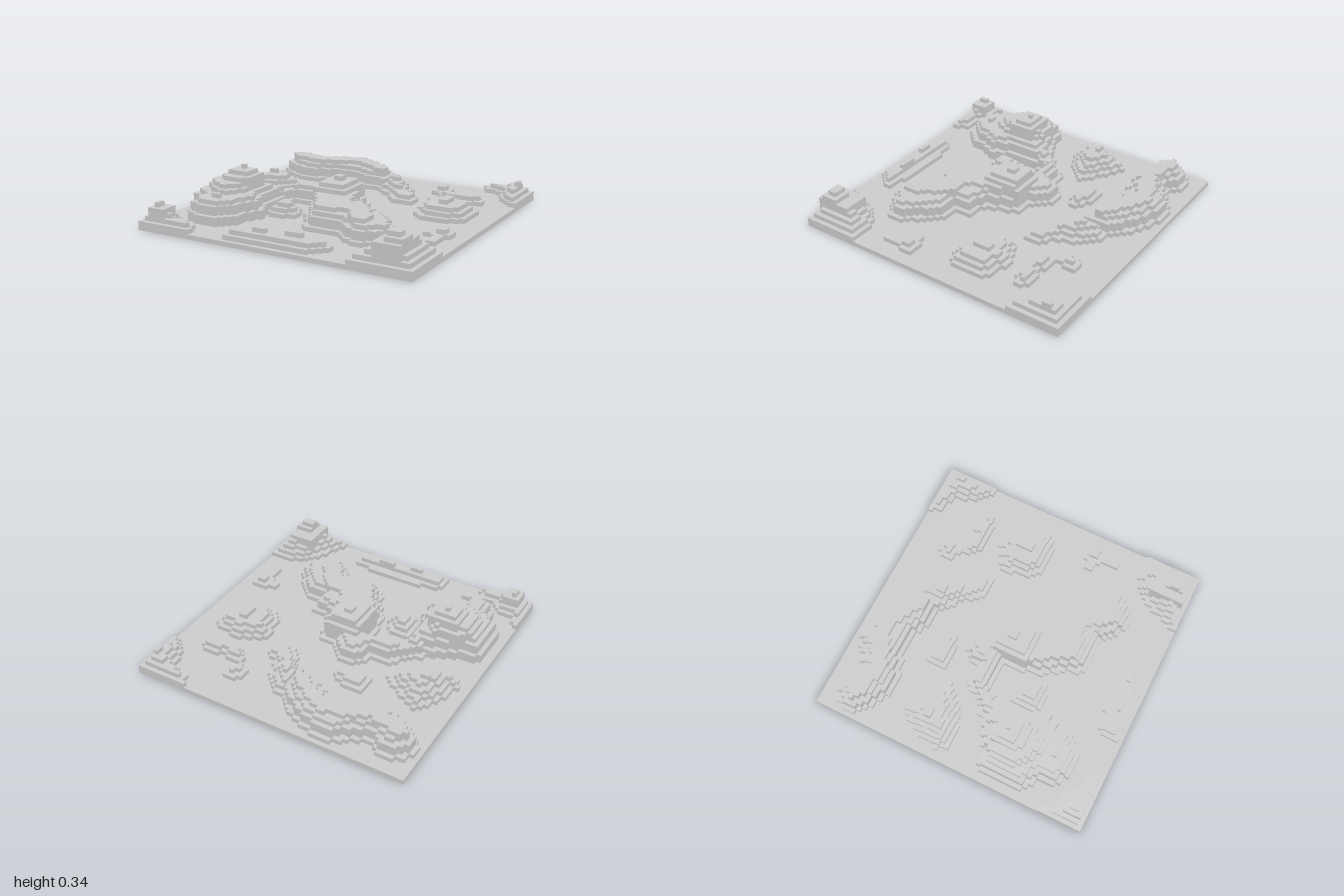
import * as THREE from 'three';

const N = 64, CELL = 2 / N;

// Each hill is a list of layers: [steps, outline].
// steps = heights (in blocks) of the rings counted inward from the outline,
// outline = x, z pairs in hundredths of a unit.
const rect = (x0, z0, x1, z1) => [x0, z0, x1, z0, x1, z1, x0, z1];

const HILLS = {
  backRidge: [
    [[2, 4, 5], [-97, -73, -94, -86, -80, -92, -68, -84, -58, -88, -48, -95, -36, -97, -20, -92, -8, -84,
      3, -75, 5, -62, 2, -52, -5, -55, -20, -58, -30, -63, -45, -62, -63, -56, -75, -58, -88, -64]],
    [[6], [-92, -76, -85, -82, -65, -76, -48, -83, -35, -87, -22, -82, -8, -72, 0, -62, -12, -64, -25, -73,
      -38, -75, -52, -68, -65, -66, -82, -69]],
    [[2, 3, 4, 5], [0, -77, 12, -72, 20, -62, 24, -50, 25, -42, 14, -40, 6, -47, -4, -54]],
    [[2, 3], [10, -50, 24, -50, 34, -43, 34, -31, 22, -30, 12, -40]]
  ],
  leftMassif: [
    [[3, 5, 6], [-62, 10, -75, 15, -80, 20, -92, 20, -94, 38, -92, 55, -82, 60, -80, 72, -70, 78, -55, 78,
      -45, 68, -42, 55, -37, 48, -42, 40, -45, 20, -42, 10]],
    [[7, 8], [-84, 26, -76, 19, -60, 17, -53, 22, -53, 44, -60, 56, -74, 54, -84, 42]],
    [[9], [-75, 22, -53, 22, -53, 40, -58, 44, -75, 42]],
    [[10], rect(-72, 25, -56, 37)],
    [[11], rect(-66, 28, -62.5, 31)],
    [[7], rect(-67, 62, -59, 67)]
  ],
  connectingArc: [
    [[2, 4, 5], [-62, 18, -60, 6, -50, -2, -42, -12, -28, -13, -28, -19, -20, -25, -8, -23, 0, -14, 4, 0,
      -20, 2, -30, 2, -39, 4, -43, 12, -45, 22]]
  ],
  centreRidge: [
    [[2, 4, 5], [-18, -5, -8, -14, 12, -12, 16, 0, 20, 10, 34, 14, 34, 26, 47, 26, 56, 36, 65, 48, 65, 58,
      53, 66, 47, 70, 36, 66, 25, 56, 12, 56, 0, 55, -6, 42, -14, 30, -19, 10]],
    [[6], [-16, -10, 8, -9, 12, 8, 18, 28, 34, 30, 46, 48, 46, 58, 38, 58, 26, 44, 14, 46, 2, 46, -6, 30, -16, 14]],
    [[7], rect(-16, -6, 9, 18)],
    [[8], rect(-12.5, -6, 6, 15)],
    [[9], rect(-6, 0, 0, 6)]
  ],
  valleyMound: [
    [[2, 3, 4], [-42, 22, -36, 18, -26, 19, -20, 27, -20, 36, -28, 42, -38, 40, -42, 34]]
  ],
  leftKnoll: [
    [[2, 3, 4, 5], [-93, -10, -90, -22, -85, -34, -77, -44, -60, -34, -47, -25, -52, -18, -60, -10, -75, -3, -90, -4]],
    [[6], rect(-78, -25, -72, -22)]
  ],
  rightKnoll: [
    [[2, 3, 4], [42, -28, 48, -34, 62, -40, 78, -38, 84, -33, 86, -25, 84, -10, 72, -2, 56, -3, 48, -10, 47, -20]],
    [[5], rect(62.5, -28, 69, -16)]
  ],
  backRightMound: [
    [[2, 3], [34, -72, 40, -78, 46, -78, 45, -64, 60, -60, 68, -64, 77, -60, 77, -52, 52, -50, 43, -57, 42, -65, 34, -66]]
  ],
  backRightCorner: [
    [[2, 3, 4], [62, -100, 66, -92, 80, -87, 85, -72, 95, -63, 100, -63, 100, -100]],
    [[5], rect(90, -91, 94, -84)]
  ],
  frontRightCorner: [
    [[2, 3, 4, 5], [56, 100, 60, 88, 66, 75, 72, 65, 84, 60, 100, 60, 100, 100]],
    [[6], rect(72, 72, 90, 97)],
    [[7], rect(78, 81, 91, 94)],
    [[8], rect(78, 84, 87.5, 91)]
  ],
  frontLeftCorner: [
    [[2, 3, 4], [-100, 70, -97, 70, -92, 78, -80, 80, -75, 88, -62, 88, -60, 100, -100, 100]],
    [[5], rect(-94, 84, -81, 97)],
    [[6], rect(-91, 87, -87, 94)]
  ],
  frontStrip: [
    [[2, 3], [-35, 85, -28, 81, 36, 81, 36, 89, 28, 96, -34, 96]],
    [[2], rect(-19, 78, 25, 82)],
    [[4], rect(-16, 87, -6, 91)],
    [[4], rect(6, 84, 19, 88)]
  ],
  smallLeftMound: [[[2, 3], [-41, -47, -25, -46, -16, -40, -16, -34, -28, -31, -41, -32]]],
  smallRightMound: [[[2], [72, 28, 72, 22, 81, 19, 90, 20, 90, 27, 87, 31, 87, 43, 80, 43, 80, 30]],
    [[3], rect(81, 22, 87, 28)]]
};

// Distance from a point to the outline, negative outside it
function insetDistance(px, pz, o) {
  let inside = false, best = Infinity;
  for (let i = 0, j = o.length - 2; i < o.length; j = i, i += 2) {
    const ax = o[j] / 100, az = o[j + 1] / 100, bx = o[i] / 100, bz = o[i + 1] / 100;
    if ((az > pz) !== (bz > pz) && px < ax + (bx - ax) * (pz - az) / (bz - az)) inside = !inside;
    const dx = bx - ax, dz = bz - az;
    const t = THREE.MathUtils.clamp(((px - ax) * dx + (pz - az) * dz) / (dx * dx + dz * dz), 0, 1);
    best = Math.min(best, Math.hypot(px - ax - t * dx, pz - az - t * dz));
  }
  return inside ? best : -best;
}

const centre = i => -1 + (i + 0.5) * CELL;

export function createModel() {
  const model = new THREE.Group();
  model.name = 'blockTerrain';
  const material = new THREE.MeshStandardMaterial({ color: 0xcccccc, flatShading: true });

  // Ground plate, one block thick
  const plate = new THREE.Mesh(new THREE.BoxGeometry(2, CELL, 2), material);
  plate.position.y = CELL / 2;
  plate.name = 'groundPlate';
  model.add(plate);

  // Height of every column and the hill it belongs to
  const height = new Array(N * N).fill(1), owner = new Array(N * N).fill('');
  for (const [name, layers] of Object.entries(HILLS))
    for (const [steps, outline] of layers)
      for (let k = 0; k < N * N; k++) {
        const d = insetDistance(centre(k % N), centre(Math.floor(k / N)), outline);
        if (d < 0) continue;
        const h = steps[Math.min(steps.length - 1, Math.floor(d / CELL))];
        if (h > height[k]) { height[k] = h; owner[k] = name; }
      }
  const heightAt = (i, j) => (i < 0 || j < 0 || i >= N || j >= N ? 1 : height[j * N + i]);

  // Hills: a top for each column and a wall wherever a neighbour is lower
  const s = CELL / 2;
  for (const name of Object.keys(HILLS)) {
    const pos = [];
    const quad = (a, b, c, d) => pos.push(...a, ...b, ...c, ...a, ...c, ...d);
    for (let k = 0; k < N * N; k++) {
      if (owner[k] !== name) continue;
      const i = k % N, j = Math.floor(k / N), x = centre(i), z = centre(j), y = height[k] * CELL;
      quad([x - s, y, z - s], [x - s, y, z + s], [x + s, y, z + s], [x + s, y, z - s]);
      for (const [dx, dz] of [[1, 0], [-1, 0], [0, 1], [0, -1]]) {
        const low = heightAt(i + dx, j + dz) * CELL;
        if (low >= y) continue;
        const corner = (side, h) => [x + s * (dx + side * dz), h, z + s * (dz - side * dx)];
        quad(corner(-1, low), corner(1, low), corner(1, y), corner(-1, y));
      }
    }
    const geometry = new THREE.BufferGeometry();
    geometry.setAttribute('position', new THREE.Float32BufferAttribute(pos, 3));
    geometry.computeVertexNormals();
    const mesh = new THREE.Mesh(geometry, material);
    mesh.name = name;
    model.add(mesh);
  }
  return model;
}
